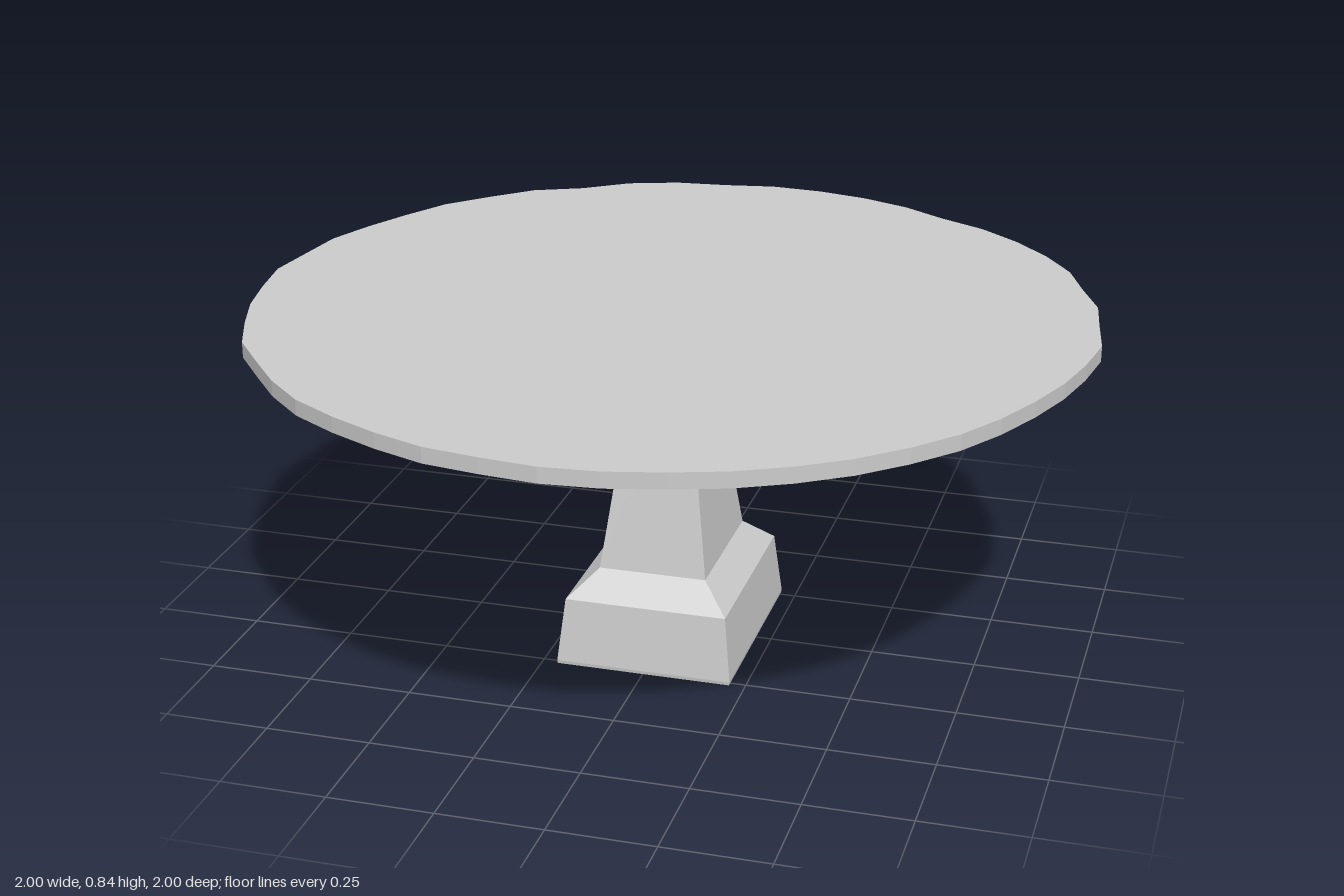
import * as THREE from 'three';

const material = new THREE.MeshStandardMaterial({ color: 0xcccccc });

// Solid of stacked rectangular rings, each [y, half width, half depth]
function rectLoft(rings) {
  const pos = [];
  const corner = ([y, w, d], i) => [[w, y, d], [w, y, -d], [-w, y, -d], [-w, y, d]][i % 4];
  const quad = (a, b, c, d) => pos.push(...a, ...b, ...c, ...a, ...c, ...d);
  for (let r = 0; r < rings.length - 1; r++) {
    for (let i = 0; i < 4; i++) {
      quad(corner(rings[r], i), corner(rings[r], i + 1), corner(rings[r + 1], i + 1), corner(rings[r + 1], i));
    }
  }
  const first = rings[0], last = rings[rings.length - 1];
  quad(corner(first, 3), corner(first, 2), corner(first, 1), corner(first, 0));
  quad(corner(last, 0), corner(last, 1), corner(last, 2), corner(last, 3));
  const geo = new THREE.BufferGeometry();
  geo.setAttribute('position', new THREE.Float32BufferAttribute(pos, 3));
  geo.computeVertexNormals();
  return geo;
}

// Round slab with a slightly chipped edge; radii run counter-clockwise from +x, seen from above
function slab(bottom, top) {
  const radii = [
    1, 0.987, 0.993, 0.983, 0.995, 0.994, 0.99, 0.985, 0.972, 0.987, 0.995, 0.999,
    1, 0.987, 1, 1, 0.978, 1, 0.995, 1, 0.99, 0.99, 0.997, 0.99,
    1, 0.99, 0.99, 0.99, 1, 0.99, 0.995, 1, 0.995, 0.995, 1, 0.995,
    1, 0.998, 0.993, 0.994, 0.993, 0.993, 0.99, 0.99, 0.985, 0.982, 0.985, 0.99,
  ];
  const points = radii.map((r, i) => {
    const a = (i / radii.length) * Math.PI * 2;
    return new THREE.Vector2(r * Math.cos(a), r * Math.sin(a));
  });
  const geo = new THREE.ExtrudeGeometry(new THREE.Shape(points), { depth: top - bottom, bevelEnabled: false });
  return geo.rotateX(-Math.PI / 2).translate(0, bottom, 0);
}

export function createModel() {
  const group = new THREE.Group();
  const add = (name, geometry) => {
    const mesh = new THREE.Mesh(geometry, material);
    mesh.name = name;
    group.add(mesh);
  };

  // Plinth with sloped shoulder
  add('plinth', rectLoft([[0, 0.212, 0.262], [0.008, 0.213, 0.263], [0.163, 0.196, 0.243], [0.225, 0.13, 0.178]]));
  // Tapered column, ending at the underside of the top
  add('column', rectLoft([[0.225, 0.13, 0.178], [0.8, 0.055, 0.075]]));
  // Stone table top
  add('tableTop', slab(0.8, 0.837));

  return group;
}
